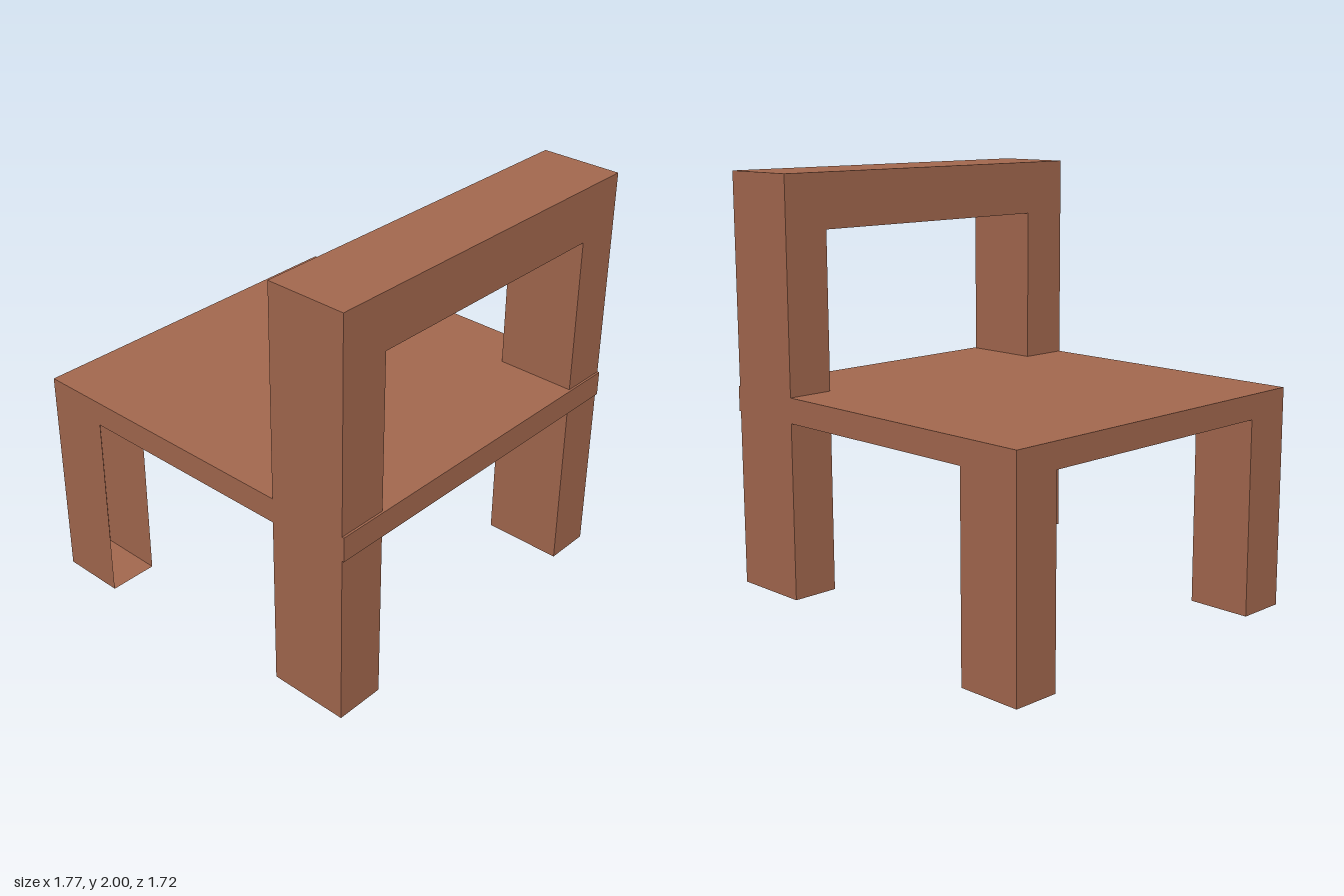
import * as THREE from 'three';

export function createModel() {
  const model = new THREE.Group();
  model.name = 'chair';
  const wood = new THREE.MeshStandardMaterial({ color: 0xa5694f, side: THREE.DoubleSide });
  wood.name = 'reddish brown wood';

  function add(name, geometry) {
    const mesh = new THREE.Mesh(geometry, wood);
    mesh.name = name;
    model.add(mesh);
  }

  // Box given by its limits on each axis
  function box(x0, x1, y0, y1, z0, z1) {
    return new THREE.BoxGeometry(x1 - x0, y1 - y0, z1 - z0)
      .translate((x0 + x1) / 2, (y0 + y1) / 2, (z0 + z1) / 2);
  }

  const halfDepth = 0.86;
  const innerLeft = 0.625;
  const innerRight = -0.64;
  const seatBottom = 0.915;

  add('seat', box(-0.885, 0.885, seatBottom, 1.03, -halfDepth, halfDepth));

  // Short legs; the one at +z is hollow, without its inner (+x) side
  add('shortLeg', box(-0.885, -0.575, 0, seatBottom, -halfDepth, innerRight));
  const hollowLeg = box(-0.885, -0.575, 0, seatBottom, innerLeft, halfDepth);
  hollowLeg.setIndex(Array.from(hollowLeg.index.array).slice(6));
  hollowLeg.clearGroups();
  add('hollowLeg', hollowLeg);

  // Backrest posts and top rail, one arch running down through the seat
  const arch = new THREE.Shape([
    [-halfDepth, 0.105], [innerRight, 0.105], [innerRight, 1.75], [innerLeft, 1.75],
    [innerLeft, 0.105], [halfDepth, 0.105], [halfDepth, 2], [-halfDepth, 2],
  ].map(([z, y]) => new THREE.Vector2(z, y)));
  const frame = new THREE.ExtrudeGeometry(arch, { depth: 0.375, bevelEnabled: false });
  frame.rotateY(-Math.PI / 2).translate(0.875, 0, 0);
  add('backFrame', frame);

  return model;
}
